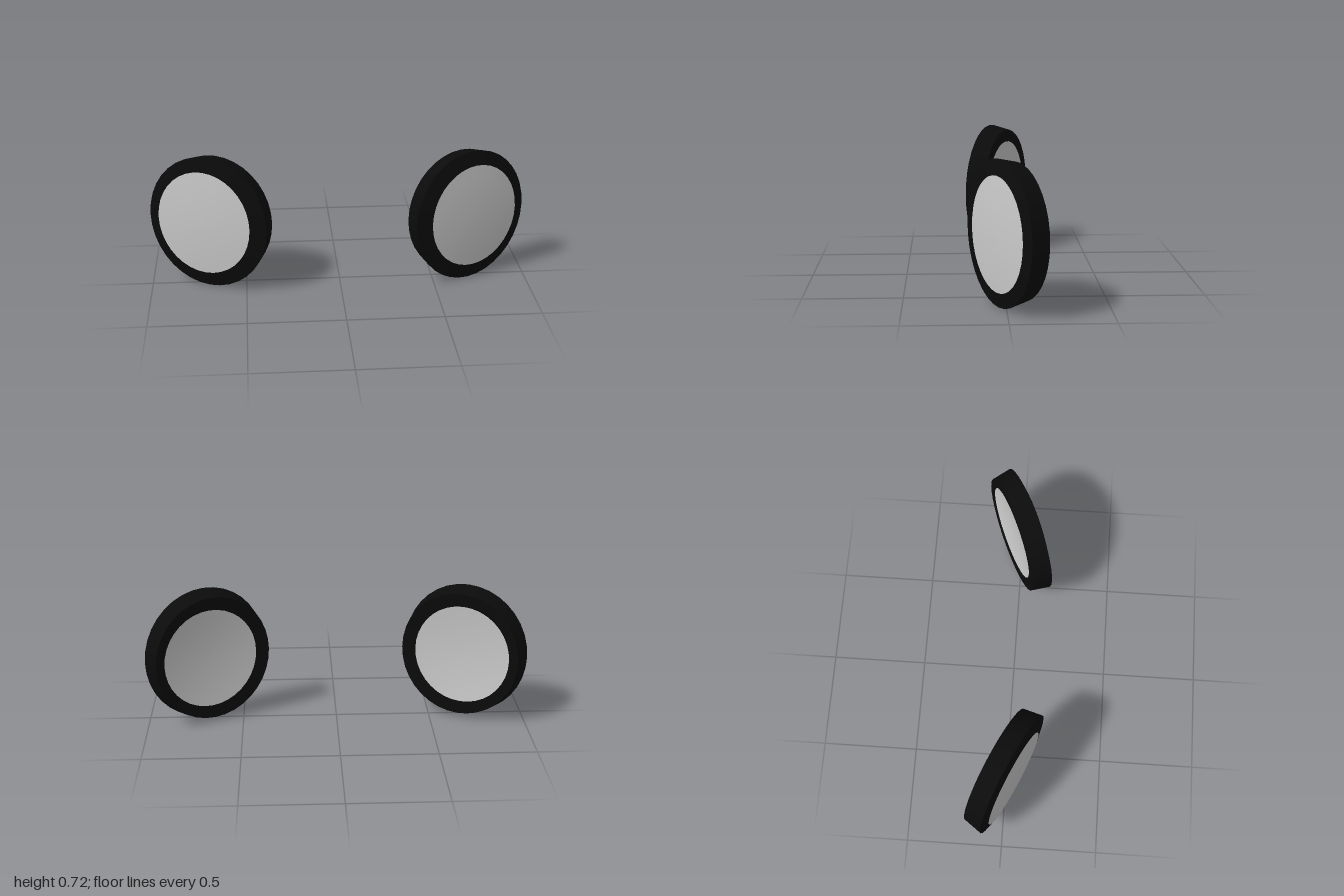
import * as THREE from 'three';

const SEGMENTS = 36;
const TILT = THREE.MathUtils.degToRad(25);

// Elliptical sections [rx, ry, centreX, z], ordered from front centre outwards to back centre
const FRONT_RIM = [0.264, 0.2825, 0.015, 0.018];
const FRONT_EDGE = [0.337, 0.36, 0, 0];
const BACK_EDGE = [0.319, 0.337, -0.004, -0.104];
const BACK_RIM = [0.258, 0.268, 0.008, -0.1];

// Smooth skin through a series of elliptical sections
function loft(sections, side) {
  const positions = [], index = [];
  sections.forEach(([rx, ry, cx, z], i) => {
    for (let j = 0; j < SEGMENTS; j++) {
      const t = (j / SEGMENTS) * Math.PI * 2;
      positions.push(cx * side + rx * Math.cos(t), ry * Math.sin(t), z);
      if (i === sections.length - 1) continue;
      const k = (j + 1) % SEGMENTS;
      const a = i * SEGMENTS + j, b = i * SEGMENTS + k;
      const c = a + SEGMENTS, d = b + SEGMENTS;
      index.push(a, c, d, a, d, b);
    }
  });
  const geometry = new THREE.BufferGeometry();
  geometry.setAttribute('position', new THREE.Float32BufferAttribute(positions, 3));
  geometry.setIndex(index);
  geometry.computeVertexNormals();
  return geometry;
}

// Shallow curved cap from the centre out to a rim; depth shifts the centre along z
function capSections([rx, ry, cx, z], depth) {
  return [0.001, 0.2, 0.4, 0.6, 0.8, 1].map((r) => [rx * r, ry * r, cx, z + depth * (1 - r * r)]);
}

function createLens(side, frameMaterial, glassMaterial) {
  const lens = new THREE.Group();
  lens.name = side > 0 ? 'leftLens' : 'rightLens';
  const add = (name, sections, material) => {
    const mesh = new THREE.Mesh(loft(sections, side), material);
    mesh.name = name;
    lens.add(mesh);
  };

  // Frame ring, in bands so that its edges stay crisp
  add('frameFront', [FRONT_RIM, FRONT_EDGE], frameMaterial);
  add('frameSide', [FRONT_EDGE, BACK_EDGE], frameMaterial);
  add('frameBack', [BACK_EDGE, BACK_RIM], frameMaterial);

  // Glass: convex at the front, concave at the back
  add('glassFront', capSections(FRONT_RIM, 0.012), glassMaterial);
  add('glassBack', capSections(BACK_RIM, 0.015).reverse(), glassMaterial);

  // Each lens turns outwards
  lens.position.set(0.695 * side, 0.36, 0.0375);
  lens.rotation.y = TILT * side;
  return lens;
}

export function createModel() {
  const model = new THREE.Group();
  model.name = 'lensPair';
  const frameMaterial = new THREE.MeshStandardMaterial({ color: 0x0b0b0b });
  const glassMaterial = new THREE.MeshStandardMaterial({ color: 0xcccccc });
  for (const side of [1, -1]) model.add(createLens(side, frameMaterial, glassMaterial));
  return model;
}
